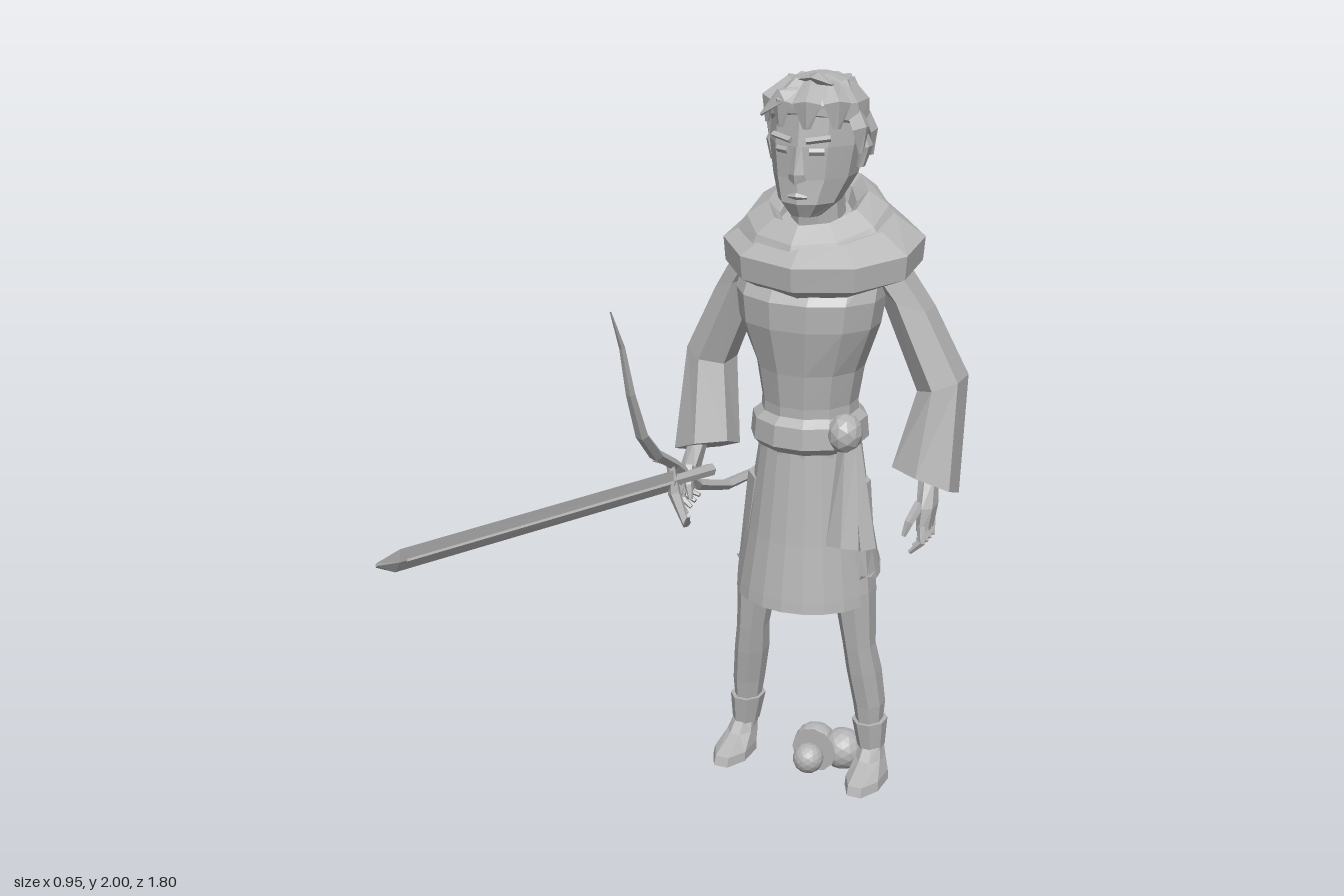
import * as THREE from 'three';

const grey = new THREE.MeshStandardMaterial({ color: 0xb4b4b4 });
const clothGrey = new THREE.MeshStandardMaterial({ color: 0xb4b4b4, side: THREE.DoubleSide });
const V = (x, y, z) => new THREE.Vector3(x, y, z);

function flatMesh(name, geo, mat = grey) {
  const g = geo.index ? geo.toNonIndexed() : geo;
  g.computeVertexNormals();
  const m = new THREE.Mesh(g, mat);
  m.name = name;
  return m;
}

// Joins rings of points, listed bottom to top, into one faceted skin
function loft(name, rings, closed = true, mat = grey) {
  const n = rings[0].length, pos = [], idx = [];
  rings.forEach(r => r.forEach(p => pos.push(p.x, p.y, p.z)));
  for (let k = 0; k + 1 < rings.length; k++)
    for (let i = 0; i < (closed ? n : n - 1); i++) {
      const a = k * n + i, b = k * n + (i + 1) % n;
      idx.push(a, a + n, b, b, a + n, b + n);
    }
  if (closed) [0, rings.length - 1].forEach((k, top) => {
    const c = rings[k].reduce((s, p) => s.add(p), V(0, 0, 0)).divideScalar(n);
    const ci = pos.length / 3;
    pos.push(c.x, c.y, c.z);
    for (let i = 0; i < n; i++) {
      const a = k * n + i, b = k * n + (i + 1) % n;
      top ? idx.push(ci, b, a) : idx.push(ci, a, b);
    }
  });
  const g = new THREE.BufferGeometry();
  g.setAttribute('position', new THREE.Float32BufferAttribute(pos, 3));
  g.setIndex(idx);
  return flatMesh(name, g, mat);
}

// Level rings: [x, y, z, radiusX, radiusZ, drop at the front, drop toward +x]
function body(name, sections, n = 8, mat = grey) {
  return loft(name, sections.map(([x, y, z, rx, rz, drop = 0, side = 0]) =>
    Array.from({ length: n }, (_, i) => {
      const a = (i + 0.5) / n * Math.PI * 2, c = Math.cos(a), s = Math.sin(a);
      return V(x + rx * c, y - drop * s - side * c, z + rz * s);
    })), true, mat);
}

// Tapered bar along a path: [x, y, z, half width, half depth]
function sweep(name, path, n = 4, across = V(1, 0, 0)) {
  const pts = path.map(p => V(p[0], p[1], p[2]));
  return loft(name, path.map(([, , , w, d], k) => {
    const t = pts[Math.min(k + 1, pts.length - 1)].clone().sub(pts[Math.max(k - 1, 0)]).normalize();
    const u = across.clone().addScaledVector(t, -across.dot(t)).normalize();
    const v = u.clone().cross(t);
    return Array.from({ length: n }, (_, i) => {
      const a = i / n * Math.PI * 2;
      return pts[k].clone().addScaledVector(u, w * Math.cos(a)).addScaledVector(v, d * Math.sin(a));
    });
  }));
}

function makeHead() {
  const g = new THREE.Group();
  g.name = 'head';
  g.add(body('neck', [[0, 1.5, -0.3, 0.075, 0.075], [0, 1.72, -0.28, 0.065, 0.07]]));
  g.add(body('face', [
    [0, 1.655, -0.205, 0.04, 0.04], [0, 1.69, -0.23, 0.078, 0.085], [0, 1.75, -0.265, 0.105, 0.115],
    [0, 1.83, -0.275, 0.118, 0.125], [0, 1.91, -0.28, 0.115, 0.12], [0, 1.96, -0.28, 0.07, 0.08]], 10));
  g.add(sweep('nose', [[0, 1.75, -0.15, 0.024, 0.02], [0, 1.765, -0.143, 0.02, 0.016], [0, 1.83, -0.152, 0.01, 0.01]]));
  g.add(sweep('mouth', [[-0.025, 1.708, -0.152, 0.004, 0.004], [0, 1.711, -0.143, 0.009, 0.008],
    [0.025, 1.708, -0.152, 0.004, 0.004]], 4, V(0, 1, 0)));
  for (const s of [-1, 1]) {
    g.add(sweep('eyebrow', [[s * 0.02, 1.845, -0.153, 0.008, 0.01], [s * 0.075, 1.853, -0.175, 0.008, 0.01]], 4, V(0, 1, 0)));
    g.add(sweep('eye', [[s * 0.028, 1.82, -0.153, 0.009, 0.006], [s * 0.062, 1.82, -0.168, 0.009, 0.006]], 4, V(0, 1, 0)));
    g.add(body('ear', [[s * 0.115, 1.77, -0.275, 0.01, 0.015], [s * 0.125, 1.82, -0.285, 0.014, 0.03],
      [s * 0.12, 1.845, -0.285, 0.008, 0.02]], 6));
  }
  // Cap of hair, dropping toward the nape
  g.add(body('hairCap', [
    [0, 1.8, -0.315, 0.1, 0.095, -0.06], [0, 1.87, -0.285, 0.125, 0.13, -0.04],
    [0, 1.93, -0.285, 0.12, 0.132], [0, 1.97, -0.285, 0.085, 0.095], [0, 1.99, -0.285, 0.03, 0.04]], 11));
  // Overlapping locks around the head
  for (let i = 0; i < 11; i++) {
    const a = Math.PI * (0.08 + i / 11 * 2), c = Math.cos(a), s = Math.sin(a);
    const low = s > 0.35 ? 1.875 : 1.80 + 0.03 * s + 0.02 * (i % 2);
    g.add(sweep('hairLock', [
      [0.128 * c, low, -0.285 + 0.137 * s, 0.01, 0.006], [0.128 * c, low + 0.06, -0.285 + 0.137 * s, 0.035, 0.016],
      [0.07 * c, 1.975, -0.285 + 0.08 * s, 0.028, 0.014]], 4, V(-s, 0.001, c)));
  }
  g.add(sweep('forelock', [[-0.02, 1.97, -0.25, 0.03, 0.02], [0.03, 1.99, -0.2, 0.02, 0.015], [0.085, 1.985, -0.16, 0.004, 0.004]]));
  g.add(sweep('forelock', [[0.02, 1.96, -0.24, 0.03, 0.02], [-0.05, 1.95, -0.16, 0.025, 0.015], [-0.1, 1.9, -0.155, 0.004, 0.004]]));
  return g;
}

// One side of the limbs, on +x of the body's centre line
function makeLimbs(side) {
  const g = new THREE.Group();
  g.name = side + 'Limbs';
  g.add(body(side + 'Sleeve', [
    [0.31, 0.975, -0.28, 0.09, 0.08, -0.03, 0.025], [0.325, 1.22, -0.345, 0.062, 0.085, 0, -0.02],
    [0.225, 1.44, -0.33, 0.075, 0.075, 0, 0.03], [0.15, 1.55, -0.31, 0.08, 0.08, 0, 0.03]], 6));
  g.add(body(side + 'Palm', [[0.335, 0.87, -0.215, 0.018, 0.045], [0.335, 0.93, -0.23, 0.025, 0.045],
    [0.325, 1.0, -0.26, 0.025, 0.03]], 6));
  for (let i = 0; i < 4; i++) {
    const z = -0.175 - i * 0.026;
    g.add(sweep(side + 'Finger', [[0.34, 0.89, z, 0.011, 0.012], [0.345, 0.85, z + 0.008, 0.011, 0.011],
      [0.315, 0.82 + 0.008 * i, z + 0.012, 0.006, 0.006]], 5, V(0, 0, 1)));
  }
  g.add(sweep(side + 'Thumb', [[0.325, 0.94, -0.2, 0.014, 0.014], [0.31, 0.9, -0.165, 0.012, 0.012], [0.3, 0.865, -0.155, 0.006, 0.006]], 5));
  g.add(body(side + 'Leg', [
    [0.19, 0.13, -0.265, 0.032, 0.038], [0.183, 0.2, -0.265, 0.028, 0.036], [0.178, 0.32, -0.265, 0.042, 0.052],
    [0.165, 0.42, -0.255, 0.045, 0.06], [0.155, 0.5, -0.24, 0.042, 0.055], [0.138, 0.66, -0.24, 0.055, 0.072],
    [0.09, 0.95, -0.25, 0.075, 0.09]], 8));
  g.add(body(side + 'BootCuff', [[0.187, 0.19, -0.265, 0.036, 0.044], [0.181, 0.27, -0.265, 0.047, 0.056]], 8));
  g.add(body(side + 'Foot', [[0.197, 0.105, -0.21, 0.052, 0.102], [0.196, 0.13, -0.215, 0.05, 0.098],
    [0.192, 0.165, -0.25, 0.038, 0.055], [0.19, 0.2, -0.265, 0.03, 0.038]], 8));
  return g;
}

// Skirt of overlapping cloth panels around the hips; angles in degrees, 90 is the front
function makeSkirt() {
  const g = new THREE.Group();
  g.name = 'skirt';
  const panels = [[22, 158, 0.63, 8, 0], [-42, 28, 0.68, 5, 5], [152, 222, 0.68, 5, 5], [-88, -38, 0.64, 4, 11], [218, 268, 0.64, 4, 11]];
  for (const [from, to, hem, n, slit] of panels) {
    const rows = [1, 0.93, 0.6, 0.3, 0].map(t => Array.from({ length: n + 1 }, (_, i) => {
      const f = i / n, inset = slit * t * t;
      const a = THREE.MathUtils.degToRad(from + inset + f * (to - from - 2 * inset));
      const y = 1.08 + (hem - 1.08) * t + (t === 1 && slit ? 0.04 * Math.abs(2 * f - 1) : 0);
      const flare = t > 0.9 ? 0.005 : 0;
      return V((0.13 + 0.058 * t + flare) * Math.cos(a), y, -0.255 + (0.125 + 0.055 * t + flare) * Math.sin(a));
    }));
    g.add(loft('skirtPanel', rows, false, clothGrey));
  }
  return g;
}

export function createModel() {
  const model = new THREE.Group();
  model.name = 'swordsman';
  const figure = new THREE.Group();
  figure.name = 'figure';
  figure.position.x = 0.08;
  model.add(figure);

  figure.add(makeHead(), makeSkirt(), makeLimbs('left'));
  const right = makeLimbs('right');
  right.scale.x = -1;
  figure.add(right);

  figure.add(body('tunic', [
    [0, 1.04, -0.25, 0.135, 0.125], [0, 1.17, -0.25, 0.125, 0.125], [0, 1.26, -0.25, 0.14, 0.135],
    [0, 1.38, -0.24, 0.185, 0.148], [0, 1.45, -0.245, 0.195, 0.155], [0, 1.55, -0.29, 0.19, 0.12],
    [0, 1.6, -0.29, 0.1, 0.09]], 12));
  figure.add(body('belt', [
    [0, 1.05, -0.25, 0.135, 0.13], [0, 1.07, -0.25, 0.155, 0.15], [0, 1.125, -0.25, 0.15, 0.145],
    [0, 1.145, -0.25, 0.125, 0.125]], 12));

  // Folded cowl around the neck
  figure.add(body('cowlLower', [
    [0.02, 1.51, -0.275, 0.2, 0.165, 0.045], [0.02, 1.525, -0.275, 0.255, 0.205, 0.035], [0.02, 1.585, -0.275, 0.26, 0.21, 0.035],
    [0.02, 1.635, -0.28, 0.18, 0.155, 0.04]], 10));
  figure.add(body('cowlUpper', [
    [0, 1.575, -0.28, 0.16, 0.14, 0.05], [0, 1.615, -0.28, 0.205, 0.18, 0.06], [0, 1.65, -0.28, 0.18, 0.165, 0.055],
    [0, 1.685, -0.285, 0.125, 0.13, 0.05], [0, 1.655, -0.285, 0.095, 0.105, 0.05], [0, 1.6, -0.285, 0.08, 0.08, 0.03]], 10));

  // Knot on the belt with two hanging ends
  const knot = flatMesh('beltKnot', new THREE.IcosahedronGeometry(0.05, 1));
  knot.position.set(0.13, 1.11, -0.17);
  knot.scale.set(0.9, 1.05, 1);
  figure.add(knot);
  figure.add(sweep('sashEnd', [[0.15, 0.82, -0.115, 0.045, 0.012], [0.14, 1.08, -0.16, 0.025, 0.016]]));
  figure.add(sweep('sashEnd', [[0.195, 0.81, -0.16, 0.03, 0.03], [0.15, 1.08, -0.18, 0.02, 0.02]]));

  // Sword held forward in the right hand
  const flat = V(0.25, 1, 0);
  const sword = new THREE.Group();
  sword.name = 'sword';
  sword.add(sweep('blade', [[-0.245, 0.935, -0.09, 0.032, 0.008], [-0.46, 1.035, 0.84, 0.03, 0.008],
    [-0.475, 1.045, 0.9, 0.006, 0.003]], 4, flat));
  sword.add(sweep('bladeRidge', [[-0.245, 0.935, -0.09, 0.009, 0.013], [-0.455, 1.033, 0.82, 0.007, 0.012]], 4, flat));
  sword.add(sweep('grip', [[-0.21, 0.915, -0.26, 0.018, 0.018], [-0.245, 0.935, -0.09, 0.015, 0.015]], 6, flat));
  sword.add(sweep('crossGuard', [[-0.18, 0.86, -0.06, 0.006, 0.006], [-0.2, 0.82, -0.09, 0.012, 0.012], [-0.24, 0.9, -0.1, 0.018, 0.018],
    [-0.25, 0.98, -0.1, 0.012, 0.012], [-0.28, 1.0, -0.06, 0.005, 0.005]], 5, V(0, 0, 1)));
  model.add(sword);

  // Bow carried in the same hand
  model.add(sweep('bow', [
    [-0.145, 0.86, -0.9, 0.003, 0.003], [-0.165, 0.87, -0.83, 0.007, 0.006], [-0.19, 0.83, -0.7, 0.012, 0.01],
    [-0.215, 0.805, -0.56, 0.018, 0.013], [-0.23, 0.82, -0.4, 0.02, 0.015], [-0.245, 0.87, -0.25, 0.016, 0.016],
    [-0.25, 0.97, -0.12, 0.016, 0.016], [-0.25, 1.03, -0.02, 0.02, 0.016], [-0.248, 1.11, 0.06, 0.018, 0.014],
    [-0.246, 1.24, 0.12, 0.013, 0.011], [-0.245, 1.37, 0.16, 0.008, 0.008], [-0.245, 1.475, 0.215, 0.002, 0.002]], 5));

  // Balls on the ground behind the heels
  for (const [x, y, z, r] of [[0.035, 0.06, -0.43, 0.06], [0.12, 0.06, -0.43, 0.06], [0.08, 0.1, -0.27, 0.043]]) {
    const ball = flatMesh('ball', new THREE.IcosahedronGeometry(r, 2));
    ball.position.set(x, y, z);
    model.add(ball);
  }
  const disc = flatMesh('disc', new THREE.CircleGeometry(0.065, 12), clothGrey);
  disc.position.set(0.08, 0.105, -0.31);
  model.add(disc);
  return model;
}
